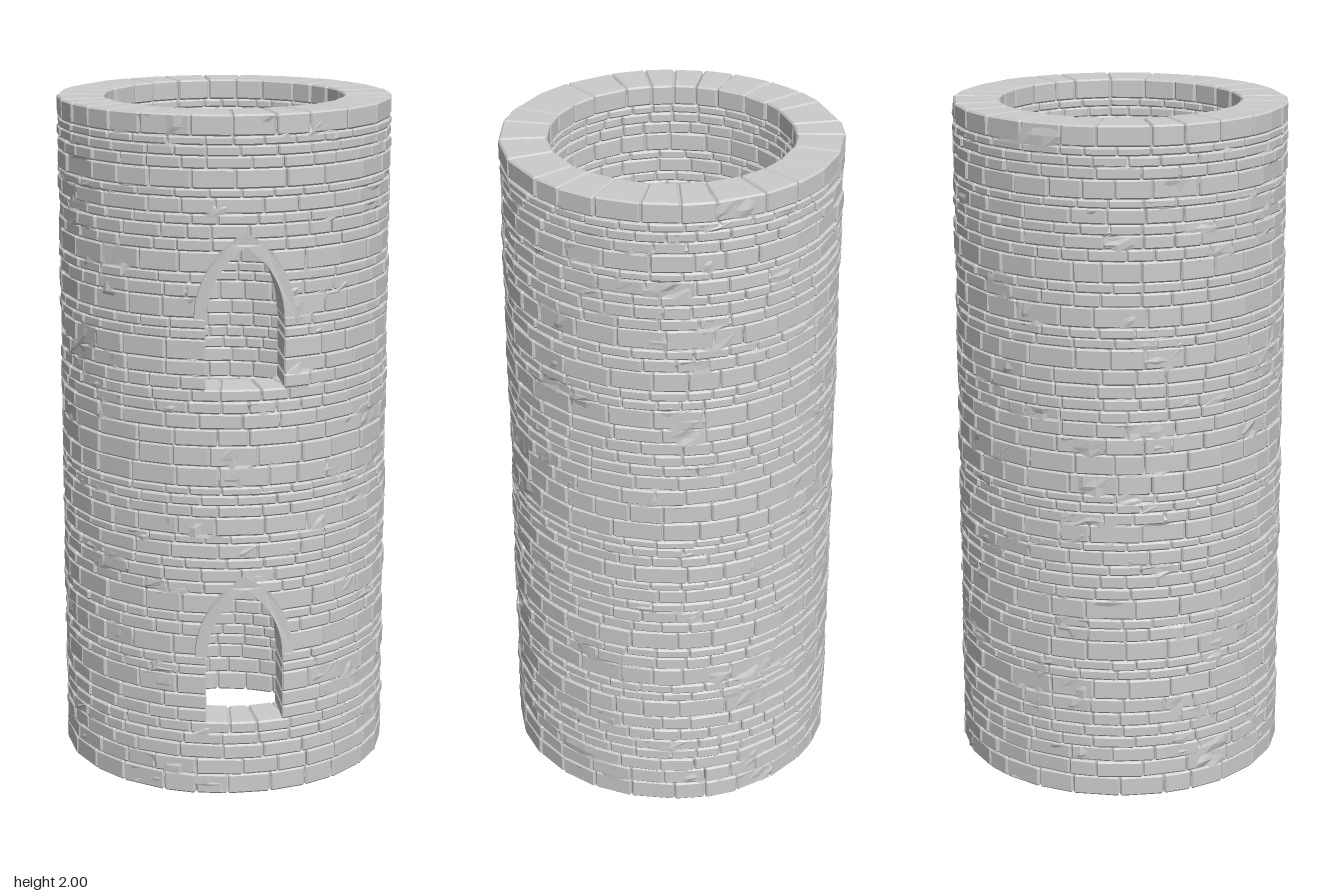
import * as THREE from 'three';

const R_OUT = 0.489, R_IN = 0.352, BEVEL = 0.005, JOINT = 0.0015;
const WINDOW_ANGLE = Math.PI / 4, HALF_W = 0.11, SILL = 0.22, SPRING = 0.43;
// pointed arch: each side is an arc centred beyond the middle line
const ARC_C = 0.136, ARC_R = ARC_C + HALF_W, TRIM = 0.034;
const ARCH_TOP = SPRING + Math.sqrt(ARC_R ** 2 - ARC_C ** 2);
// course heights of one storey, bottom to top
const COURSES = [0.06, 0.05, 0.045, 0.035, 0.035, 0.04, 0.045, 0.06, 0.03, 0.03, 0.06, 0.04,
  0.03, 0.06, 0.035, 0.04, 0.03, 0.045, 0.025, 0.055, 0.035, 0.03, 0.025, 0.06];

let seed = 7;
function rand() {
  seed = (seed * 16807) % 2147483647;
  return seed / 2147483647;
}

const material = new THREE.MeshStandardMaterial({ color: 0xcccccc, flatShading: true });

// half width of the window opening for a course starting at height y in its storey
function openingAt(y) {
  if (y < SILL || y > ARCH_TOP - 0.005) return 0;
  return y < SPRING ? HALF_W : Math.sqrt(ARC_R ** 2 - (y - SPRING) ** 2) - ARC_C;
}

// joins rings of points into a closed solid, skipping collapsed triangles
function skin(rings, out) {
  const ab = new THREE.Vector3(), ac = new THREE.Vector3();
  const tri = (a, b, c) => {
    ab.subVectors(b, a);
    ac.subVectors(c, a);
    if (ab.cross(ac).lengthSq() < 1e-14) return;
    for (const p of [a, b, c]) out.push(p.x, p.y, p.z);
  };
  const n = rings[0].length;
  for (let k = 0; k < rings.length - 1; k++) {
    for (let j = 0; j < n; j++) {
      const i = (j + 1) % n, p = rings[k], q = rings[k + 1];
      tri(p[j], q[j], q[i]);
      tri(p[j], q[i], p[i]);
    }
  }
  const first = rings[0], last = rings[rings.length - 1];
  for (let j = 1; j < n - 1; j++) {
    tri(first[0], first[j], first[j + 1]);
    tri(last[0], last[j + 1], last[j]);
  }
}

// places a radial cross-section of [radius, height] points at an angle that may vary with radius
function ring(profile, angleAt) {
  return profile.map(([r, y]) => {
    const a = angleAt(r);
    return new THREE.Vector3(r * Math.sin(a), y, r * Math.cos(a));
  });
}

// one bevelled stone running through the wall between two edges
function addBrick(out, edgeA, edgeB, y0, y1) {
  const b = BEVEL, ro = R_OUT + (rand() - 0.5) * 0.006, ri = R_IN + (rand() - 0.5) * 0.005;
  const full = [[ro, y0 + b], [ro, y1 - b], [ro - b, y1], [ri + b, y1],
    [ri, y1 - b], [ri, y0 + b], [ri + b, y0], [ro - b, y0]];
  const inset = full.map(([r, y]) => [
    THREE.MathUtils.clamp(r, ri + b, ro - b), THREE.MathUtils.clamp(y, y0 + b, y1 - b)]);
  const from = (s) => (r) => edgeA(r) + s / r;
  const to = (s) => (r) => edgeB(r) - s / r;
  skin([ring(inset, from(JOINT)), ring(full, from(JOINT + b)),
    ring(full, to(JOINT + b)), ring(inset, to(JOINT))], out);
}

// recessed mortar behind the joints, swelling over the stones in worn patches
function addMortar(out, edgeA, edgeB, y0, y1) {
  const rings = [], steps = 80;
  for (let k = 0; k <= steps; k++) {
    const t = k / steps, a = t * Math.PI * 2;
    const outer = [y0, (y0 + y1) / 2, y1].map((y) => {
      const patch = Math.sin(4 * a + 9 * y) * Math.cos(13 * y - 2 * a) + 0.4 * Math.sin(11 * a + 31 * y);
      return [0.4795 + (patch > 0.45 ? 0.011 * rand() : 0), y];
    });
    rings.push(ring([...outer, [0.36, y1], [0.36, y0]],
      (r) => THREE.MathUtils.lerp(edgeA(r) + 0.006 / r, edgeB(r) - 0.006 / r, t)));
  }
  skin(rings, out);
}

function meshFrom(name, positions) {
  const geometry = new THREE.BufferGeometry();
  geometry.setAttribute('position', new THREE.Float32BufferAttribute(positions, 3));
  geometry.computeVertexNormals();
  const mesh = new THREE.Mesh(geometry, material);
  mesh.name = name;
  return mesh;
}

// pointed stone arch, bent to follow the round wall
function windowArch() {
  const side = (radius, sign, upward) => {
    const top = Math.acos(ARC_C / radius), pts = [];
    for (let i = 0; i <= 10; i++) {
      const a = top * (upward ? i : 10 - i) / 10;
      pts.push(new THREE.Vector2(sign * (radius * Math.cos(a) - ARC_C), SPRING + radius * Math.sin(a)));
    }
    return pts;
  };
  const outer = ARC_R + TRIM;
  const shape = new THREE.Shape([
    ...side(outer, 1, true), ...side(outer, -1, false).slice(1),
    ...side(ARC_R, -1, true), ...side(ARC_R, 1, false).slice(1)]);
  const geometry = new THREE.ExtrudeGeometry(shape, { depth: 1, bevelEnabled: false });
  const p = geometry.attributes.position;
  for (let i = 0; i < p.count; i++) {
    const r = THREE.MathUtils.lerp(0.347, 0.497, p.getZ(i));
    p.setZ(i, Math.sqrt(r * r - p.getX(i) ** 2));
  }
  geometry.computeVertexNormals();
  const mesh = new THREE.Mesh(geometry, material);
  mesh.name = 'windowArch';
  mesh.rotation.y = WINDOW_ANGLE;
  return mesh;
}

function buildStorey(base) {
  const storey = new THREE.Group();
  const mortar = [];
  let y = 0;
  for (const h of COURSES) {
    const w = openingAt(y + 0.001), bricks = [];
    const start = w ? WINDOW_ANGLE : rand() * Math.PI * 2;
    const edgeA = (r) => start + Math.asin(w / r);
    const edgeB = (r) => start + Math.PI * 2 - Math.asin(w / r);

    // uneven stone lengths, shorter in thin courses
    const a0 = edgeA(R_OUT), span = edgeB(R_OUT) - a0;
    const count = Math.round((h > 0.042 ? 26 : 32) * span / (Math.PI * 2));
    const lengths = Array.from({ length: count }, () => 0.7 + 0.6 * rand());
    const total = lengths.reduce((s, l) => s + l, 0);
    let run = 0, left = edgeA;
    lengths.forEach((l, i) => {
      run += l;
      const a = a0 + span * run / total;
      const right = i === count - 1 ? edgeB : () => a;
      addBrick(bricks, left, right, base + y, base + y + h);
      left = right;
    });
    storey.add(meshFrom('brickCourse', bricks));

    addMortar(mortar, edgeA, edgeB, Math.max(0.006, base + y - 0.006), base + y + h - 0.006);
    y += h;
  }
  storey.add(meshFrom('mortarCore', mortar));
  const arch = windowArch();
  arch.position.y = base;
  storey.add(arch);
  return storey;
}

export function createModel() {
  seed = 7;
  const tower = new THREE.Group();
  tower.name = 'roundTower';
  ['lowerStorey', 'upperStorey'].forEach((name, i) => {
    const storey = buildStorey(i);
    storey.name = name;
    tower.add(storey);
  });
  return tower;
}
